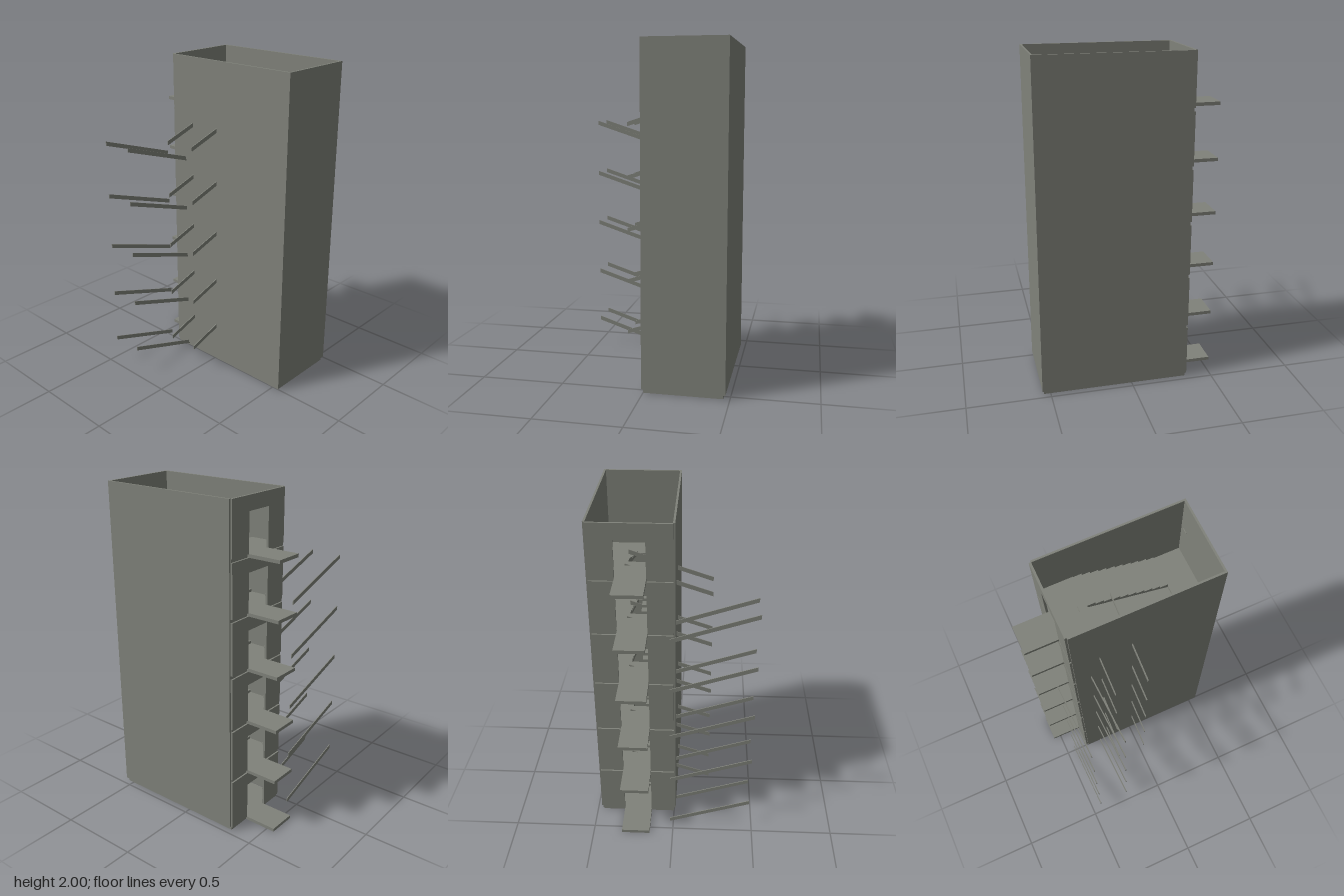
import * as THREE from 'three';

const H = 0.333;        // storey height
const SLAB = 0.02;      // slab thickness
const STOREYS = 5;
const STEPS = 10, RUN = 0.5;

export function createModel() {
  const root = new THREE.Group();
  root.name = 'stairwell';
  const concrete = new THREE.MeshStandardMaterial({ color: 0x80827a });
  concrete.name = 'concrete grey';

  const add = (name, geometry, parent = root) => {
    const mesh = new THREE.Mesh(geometry, concrete);
    mesh.name = name;
    parent.add(mesh);
    return mesh;
  };
  // box given by its limits on each axis
  const block = (name, x0, x1, y0, y1, z0, z1, parent) => {
    const g = new THREE.BoxGeometry(x1 - x0, y1 - y0, z1 - z0);
    g.translate((x0 + x1) / 2, (y0 + y1) / 2, (z0 + z1) / 2);
    return add(name, g, parent);
  };
  const shapeOf = (pts) => new THREE.Shape(pts.map(([a, b]) => new THREE.Vector2(a, b)));

  // saw-tooth flight with a sloping underside, climbing along dir in z
  const flight = (name, x0, x1, y, z, dir, parent) => {
    const rise = H / 2 / STEPS, run = RUN / STEPS;
    const pts = [[z, y - 0.015]];
    for (let i = 0; i < STEPS; i++) {
      pts.push([z + dir * i * run, y + (i + 1) * rise]);
      pts.push([z + dir * (i + 1) * run, y + (i + 1) * rise]);
    }
    pts.push([z + dir * RUN, y + H / 2 - 0.02]);
    const g = new THREE.ExtrudeGeometry(shapeOf(pts), { depth: x1 - x0, bevelEnabled: false });
    g.rotateY(-Math.PI / 2);
    g.translate(x1, 0, 0);
    add(name, g, parent);
  };

  // thin sloping board with upright ends
  const stringer = (name, xa, ya, xb, yb, z, parent) => {
    const h = 0.026;
    const g = new THREE.ExtrudeGeometry(
      shapeOf([[xa, ya], [xb, yb], [xb, yb + h], [xa, ya + h]]),
      { depth: 0.005, bevelEnabled: false });
    g.translate(0, 0, z - 0.0025);
    add(name, g, parent);
  };

  // shaft: base slab and three plain walls
  block('baseSlab', 0, 0.462, 0, SLAB, -0.34, 0.54);
  block('rightWall', -0.01, 0.002, 0.024, 2, -0.338, 0.538);
  block('leftWall', 0.463, 0.475, 0.024, 2, -0.338, 0.538);
  block('frontWall', -0.01, 0.475, 0.024, 2, 0.538, 0.55);

  // each level: door wall, threshold, landing and small wall lamps
  for (let k = 0; k <= STOREYS; k++) {
    const level = new THREE.Group();
    level.name = 'level' + k;
    root.add(level);
    const y = k * H + SLAB;
    const top = k === STOREYS ? 2 : y + H - SLAB;

    const wall = shapeOf([[0, y], [0.147, y], [0.147, y + 0.23], [0.321, y + 0.23],
      [0.321, y], [0.465, y], [0.465, top], [0, top]]);
    const g = new THREE.ExtrudeGeometry(wall, { depth: 0.013, bevelEnabled: false });
    g.translate(0, 0, -0.35);
    add('doorWall', g, level);

    block('threshold', 0.146, 0.321, y - SLAB, y, -0.55, -0.34, level);
    if (k > 0) block('landing', 0.002, 0.463, y - SLAB, y, -0.34, -0.13, level);
    block('backLamp', 0.4, 0.44, y + 0.08, y + 0.085, -0.337, -0.333, level);
    block('frontLamp', 0.4, 0.44, y + 0.08, y + 0.085, 0.533, 0.538, level);
  }

  // each storey: two flights, a half landing and the side boards
  for (let k = 0; k < STOREYS; k++) {
    const storey = new THREE.Group();
    storey.name = 'stairs' + k;
    root.add(storey);
    const y = k * H + SLAB, mid = y + H / 2;

    flight('lowerFlight', 0.005, 0.2, y, -0.13, 1, storey);
    flight('upperFlight', 0.265, 0.46, mid, 0.37, -1, storey);
    block('halfLanding', 0.002, 0.463, mid - SLAB, mid, 0.37, 0.538, storey);

    for (const z of [-0.44, -0.243])
      stringer('lowerStringer', -0.48, k * H + 0.172, 0.02, k * H + 0.006, z, storey);
    for (const z of [-0.181, 0.016])
      stringer('upperStringer', -0.22, k * H + 0.172, 0.28, k * H + 0.338, z, storey);
  }

  return root;
}
